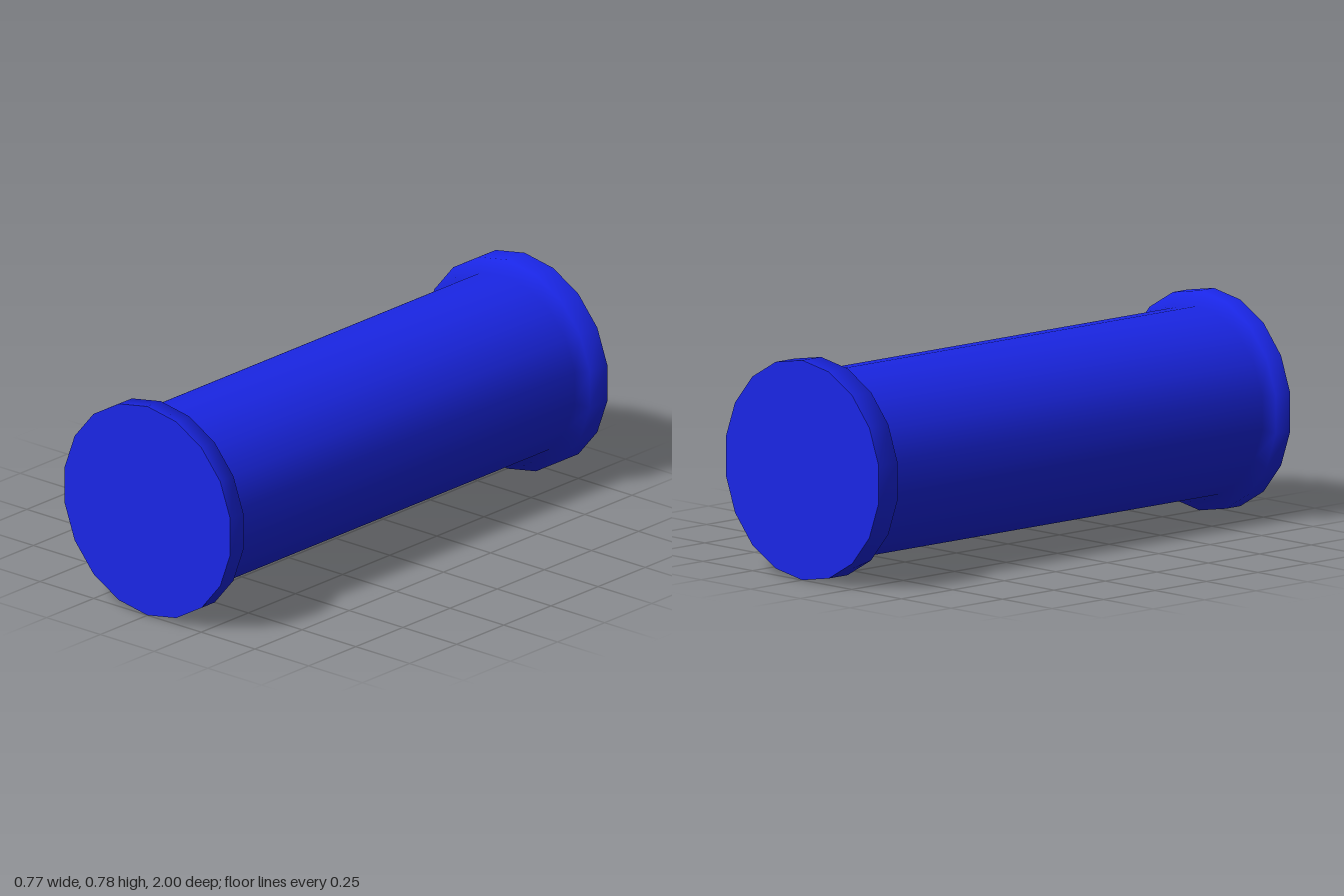
import * as THREE from 'three';

const SIDES = 18;
const RIM = 0.391;
const TUBE = 0.337;

export function createModel() {
  const group = new THREE.Group();
  group.name = 'flangedRoller';
  const material = new THREE.MeshStandardMaterial({ color: 0x1a26e6 });

  // Smooth barrel with a flange at each end, turned around the z axis
  const profile = [
    [RIM, -1], [RIM, -0.908], [TUBE, -0.888],
    [TUBE, 0.915], [RIM, 0.93], [RIM, 1],
  ].map(([r, z]) => new THREE.Vector2(r, z));
  const barrel = new THREE.Mesh(new THREE.LatheGeometry(profile, SIDES), material);
  barrel.name = 'barrel';
  barrel.rotation.x = Math.PI / 2;
  barrel.position.y = RIM;
  group.add(barrel);

  // Flat end caps
  for (const end of [1, -1]) {
    const cap = new THREE.Mesh(new THREE.CircleGeometry(RIM, SIDES, Math.PI / 2), material);
    cap.name = end > 0 ? 'frontCap' : 'backCap';
    cap.position.set(0, RIM, end);
    if (end < 0) cap.rotation.y = Math.PI;
    group.add(cap);
  }
  return group;
}
